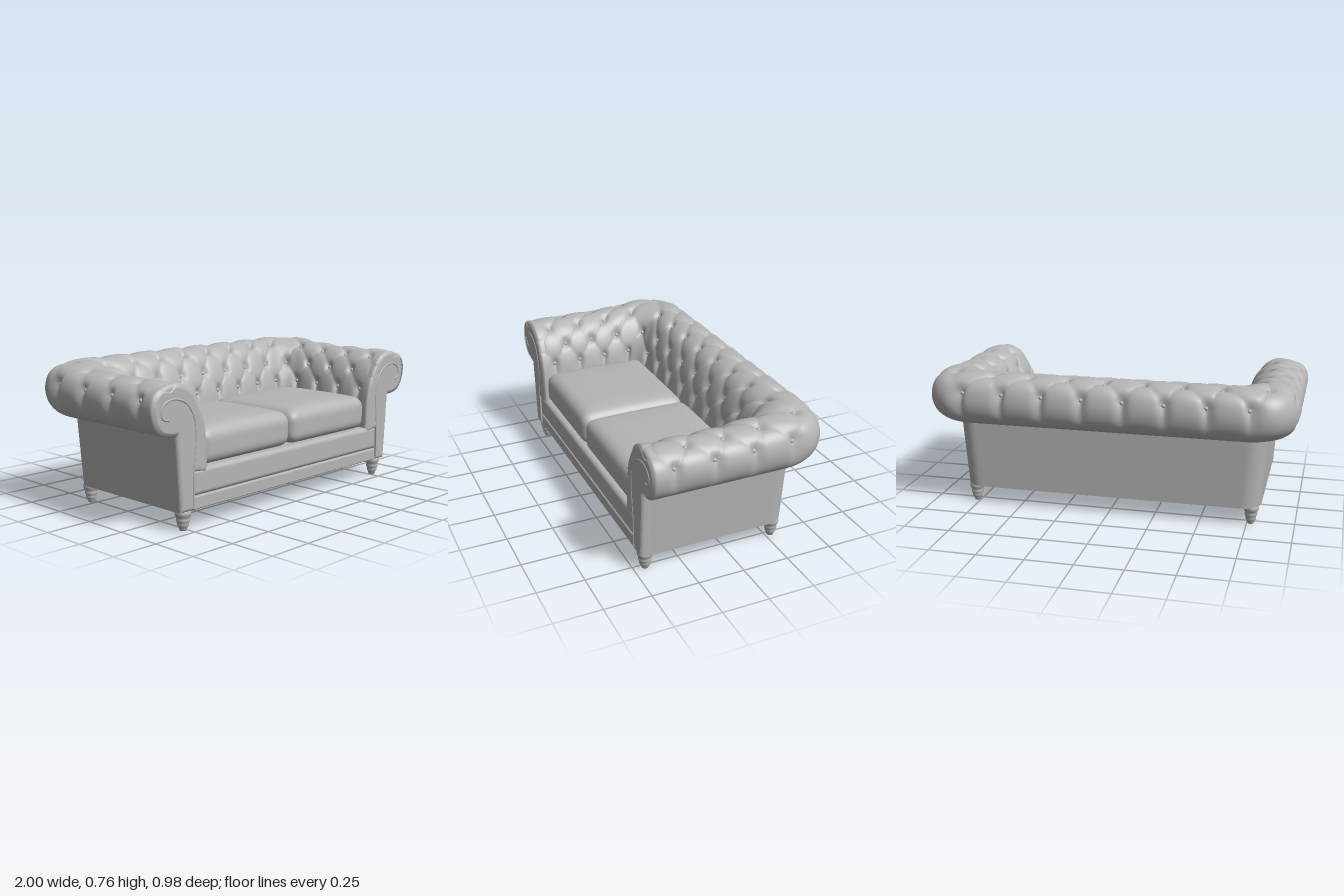
import * as THREE from 'three';
import { mergeVertices } from 'three/addons/utils/BufferGeometryUtils.js';
import { RoundedBoxGeometry } from 'three/addons/geometries/RoundedBoxGeometry.js';

const V2 = (x, y) => new THREE.Vector2(x, y);
const V3 = (x, y, z) => new THREE.Vector3(x, y, z);
const { clamp, smoothstep, lerp } = THREE.MathUtils;

// Tufts are counted along the U-shaped plan: left arm, back, right arm.
const MID = 7.5, FRONT = -0.47, END = -0.57;
// Share of the padding profile at the innermost and outermost button rows.
const F_IN = 0.24, F_OUT = 0.715;

// Padding cross-section: inner face, over the roll, back to the outer wall.
const padding = new THREE.SplineCurve([
  V2(0.655, 0.3), V2(0.66, 0.42), V2(0.675, 0.52), V2(0.71, 0.62), V2(0.76, 0.685),
  V2(0.83, 0.72), V2(0.9, 0.718), V2(0.96, 0.687), V2(0.985, 0.63),
  V2(0.975, 0.56), V2(0.94, 0.512), V2(0.89, 0.494), V2(0.84, 0.492),
]);

// Point on the U plan at tuft count t: half-width o, back depth and corner radius r.
function planPoint(t, o, y, back, r) {
  const side = t > MID ? -1 : 1;
  if (t > MID) t = 2 * MID - t;
  if (t < 3) return V3(side * o, y, lerp(0.47, r - back, (t - FRONT) / (3 - FRONT)));
  if (t < 4) {
    const a = (t - 3) * Math.PI / 2;
    return V3(side * (o - r + r * Math.cos(a)), y, r - back - r * Math.sin(a));
  }
  return V3(side * (o - r) * (1 - (t - 4) / 3.5), y, -back);
}

// Height of the tufting: diamonds between the rows, fading pleats beyond them.
function tuft(t, f) {
  const raw = (F_OUT - f) / (F_OUT - F_IN) * 4, row = clamp(raw, 0, 4);
  const p = t + row / 2, q = t - row / 2;
  const dp = p - Math.round(p), dq = q - Math.round(q);
  const puff = Math.pow(Math.abs(Math.sin(Math.PI * p) * Math.sin(Math.PI * q)), 0.4);
  const u = (dp + dq) / 2 * 0.21, v = (dp - dq) * 0.11;
  const dimple = Math.exp(-(u * u + v * v) / 0.0007);
  const fade = Math.min(1, Math.abs(raw - row) / 1.2);
  return lerp(0.004 + 0.011 * puff - 0.02 * dimple, 0.013, fade);
}

function paddingPoint(t, f) {
  const c = padding.getPointAt(f), g = padding.getTangentAt(f);
  const fromFront = Math.min(t, 2 * MID - t);
  const over = clamp((FRONT - fromFront) / (FRONT - END), 0, 1);
  const d = tuft(t, f) - 0.02 * (1 - Math.sqrt(1 - over * over));
  const o = c.x - g.y * d, y = c.y + g.x * d;
  const lift = 0.026 * smoothstep(fromFront, 1.6, 3.6) * smoothstep(y, 0.6, 0.72);
  return planPoint(t, o, y + lift, o - 0.51, 0.08 + 0.4 * (o - 0.65));
}

// Grid surface along the plan.
function sweep(point, start, rings, steps) {
  const pos = [], index = [];
  for (let i = 0; i <= rings; i++) {
    const t = lerp(start, 2 * MID - start, i / rings);
    for (let j = 0; j <= steps; j++) {
      pos.push(...point(t, j / steps).toArray());
      if (i < rings && j < steps) {
        const a = i * (steps + 1) + j, b = a + steps + 1;
        index.push(a, a + 1, b, a + 1, b + 1, b);
      }
    }
  }
  const g = new THREE.BufferGeometry();
  g.setAttribute('position', new THREE.Float32BufferAttribute(pos, 3));
  g.setIndex(index);
  g.computeVertexNormals();
  return g;
}

// Box with rounded edges and a crowned top.
function cushionGeometry(w, h, d, r, crown) {
  const box = new THREE.BoxGeometry(w, h, d, 32, 12, 32);
  box.deleteAttribute('normal');
  box.deleteAttribute('uv');
  const g = mergeVertices(box), pos = g.attributes.position;
  const half = V3(w / 2 - r, h / 2 - r, d / 2 - r), p = V3(0, 0, 0);
  for (let i = 0; i < pos.count; i++) {
    p.fromBufferAttribute(pos, i);
    const core = p.clone().clamp(half.clone().negate(), half);
    p.sub(core).setLength(r).add(core);
    const dome = (1 - (2 * p.x / w) ** 4) * (1 - (2 * p.z / d) ** 4);
    if (p.y > 0) p.y += crown * dome * p.y / (h / 2);
    pos.setXYZ(i, p.x, p.y, p.z);
  }
  g.computeVertexNormals();
  return g;
}

export function createModel() {
  const sofa = new THREE.Group();
  const grey = new THREE.MeshStandardMaterial({ color: 0xb5b5b5, side: THREE.DoubleSide });
  grey.name = 'grey upholstery';
  const add = (name, geometry, x = 0, y = 0, z = 0, parent = sofa) => {
    const m = new THREE.Mesh(geometry, grey);
    m.name = name;
    m.position.set(x, y, z);
    parent.add(m);
  };

  // Tufted arms and back in one piece
  add('tuftedPadding', sweep(paddingPoint, END, 400, 84));

  // Buttons in five staggered rows
  const buttons = new THREE.Group();
  buttons.name = 'buttons';
  sofa.add(buttons);
  const buttonGeo = new THREE.SphereGeometry(0.012, 10, 7);
  for (let row = 0; row <= 4; row++) {
    const f = lerp(F_OUT, F_IN, row / 4);
    for (let t = (row % 2) / 2; t <= 2 * MID; t++) {
      const p = paddingPoint(t, f);
      add('button', buttonGeo, p.x, p.y, p.z, buttons);
    }
  }

  // Outer walls, slightly tapered, with an underside rim
  const wall = (t, f) => planPoint(t, lerp(0.845, 0.82, f), lerp(0.5, 0.1, f), lerp(0.355, 0.342, f), 0.1);
  const rim = (t, f) => planPoint(t, lerp(0.82, 0.7, f), 0.1, lerp(0.342, 0.222, f), 0.1);
  add('outerWalls', sweep(wall, -0.42, 240, 4));
  add('undersideRim', sweep(rim, -0.42, 240, 1));

  // Seat base with front rail and lower band
  add('seatBase', new THREE.BoxGeometry(1.54, 0.2, 0.75), 0, 0.202, 0.08);
  add('frontRail', new RoundedBoxGeometry(1.48, 0.135, 0.1, 5, 0.025), 0, 0.235, 0.433);
  add('lowerBand', new RoundedBoxGeometry(1.48, 0.067, 0.09, 3, 0.008), 0, 0.134, 0.435);

  // Cushions
  const cushion = cushionGeometry(0.652, 0.18, 0.61, 0.055, 0.022);
  for (const s of [1, -1]) add('seatCushion', cushion, s * 0.327, 0.39, 0.163);

  // Scrolled arm fronts with piping
  const scroll = [
    [0.742, 0.115], [0.738, 0.3], [0.722, 0.48], [0.735, 0.56], [0.78, 0.63], [0.86, 0.66],
    [0.92, 0.645], [0.943, 0.605], [0.93, 0.572], [0.895, 0.565],
  ];
  for (const s of [1, -1]) {
    const outline = [];
    for (let i = 0; i <= 48; i++) {
      const c = padding.getPointAt(i / 48), g = padding.getTangentAt(i / 48);
      outline.push(V2(s * (c.x + g.y * 0.012), c.y - g.x * 0.012));
    }
    outline.push(V2(s * 0.827, 0.49), V2(s * 0.803, 0.12), V2(s * 0.755, 0.12), V2(s * 0.745, 0.31));
    add('armFront', new THREE.ExtrudeGeometry(new THREE.Shape(outline), {
      depth: 0.02, bevelThickness: 0.02, bevelSize: 0.02, bevelSegments: 5,
    }), 0, 0, 0.446);
    const path = new THREE.CatmullRomCurve3(scroll.map(([x, y]) => V3(s * x, y, 0.484)));
    add('armPiping', new THREE.TubeGeometry(path, 60, 0.006, 8));
  }

  // Turned feet
  const foot = [
    [0, 0], [0.016, 0], [0.02, 0.008], [0.022, 0.018], [0.028, 0.024], [0.029, 0.034],
    [0.027, 0.04], [0.033, 0.047], [0.034, 0.058], [0.03, 0.064], [0.038, 0.074],
    [0.042, 0.088], [0.04, 0.098], [0.035, 0.106],
  ].map(([r, y]) => V2(r, y));
  const footGeo = new THREE.LatheGeometry(foot, 24);
  for (const x of [0.77, -0.77]) for (const z of [0.438, -0.28]) add('foot', footGeo, x, 0, z);

  return sofa;
}
